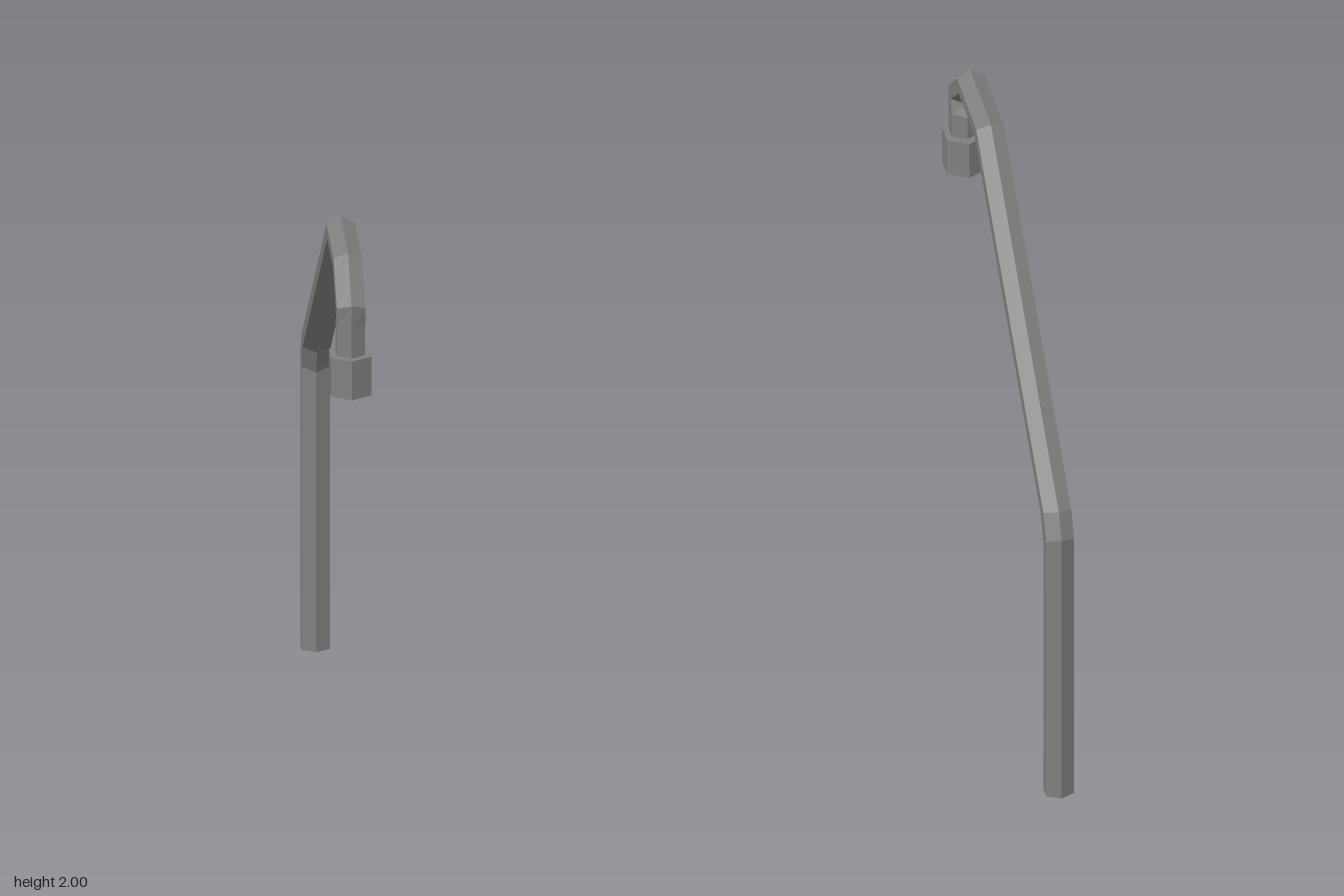
import * as THREE from 'three';

const HALF_WIDTH = 0.0475;

// Open six-sided pipe through mitred sections: [outer z, outer y, inner z, inner y]
function hexPipe(sections) {
  const pos = [], index = [];
  const ring = [[0, 0], [1, 0.25], [1, 0.75], [0, 1], [-1, 0.75], [-1, 0.25]];
  for (const [oz, oy, iz, iy] of sections) {
    for (const [side, t] of ring) {
      pos.push(side * HALF_WIDTH, oy + (iy - oy) * t, oz + (iz - oz) * t);
    }
  }
  for (let k = 0; k < sections.length - 1; k++) {
    for (let i = 0; i < 6; i++) {
      const a = k * 6 + i, b = k * 6 + (i + 1) % 6;
      index.push(a, a + 6, b, b, a + 6, b + 6);
    }
  }
  const geo = new THREE.BufferGeometry();
  geo.setAttribute('position', new THREE.Float32BufferAttribute(pos, 3));
  geo.setIndex(index);
  geo.computeVertexNormals();
  return geo;
}

export function createModel() {
  const group = new THREE.Group();
  const material = new THREE.MeshStandardMaterial({
    color: 0x808080, flatShading: true, side: THREE.DoubleSide,
  });

  // Upright, sloping arm and down-turned spout in one bent pipe
  const pipe = new THREE.Mesh(hexPipe([
    [-0.786, 0, -0.696, 0],
    [-0.786, 1.065, -0.696, 1.01],
    [-0.743, 1.152, -0.653, 1.10],
    [0.30, 2, 0.35, 1.911],
    [0.617, 2, 0.572, 1.911],
    [0.76, 1.868, 0.683, 1.81],
    [0.76, 1.79, 0.662, 1.765],
    [0.76, 1.66, 0.662, 1.66],
  ]), material);
  pipe.name = 'bentPipe';
  group.add(pipe);

  // Hexagonal nozzle with a tapered outlet underneath
  const profile = [
    [0, 0.05], [0.03, 0.05], [0.055, 0], [0.077, 0], [0.077, 0.14], [0, 0.14],
  ].map(([r, y]) => new THREE.Vector2(r, y));
  const nozzle = new THREE.Mesh(new THREE.LatheGeometry(profile, 6), material);
  nozzle.name = 'nozzle';
  nozzle.position.set(0, 1.54, 0.709);
  nozzle.scale.x = 1.02;
  group.add(nozzle);

  return group;
}
